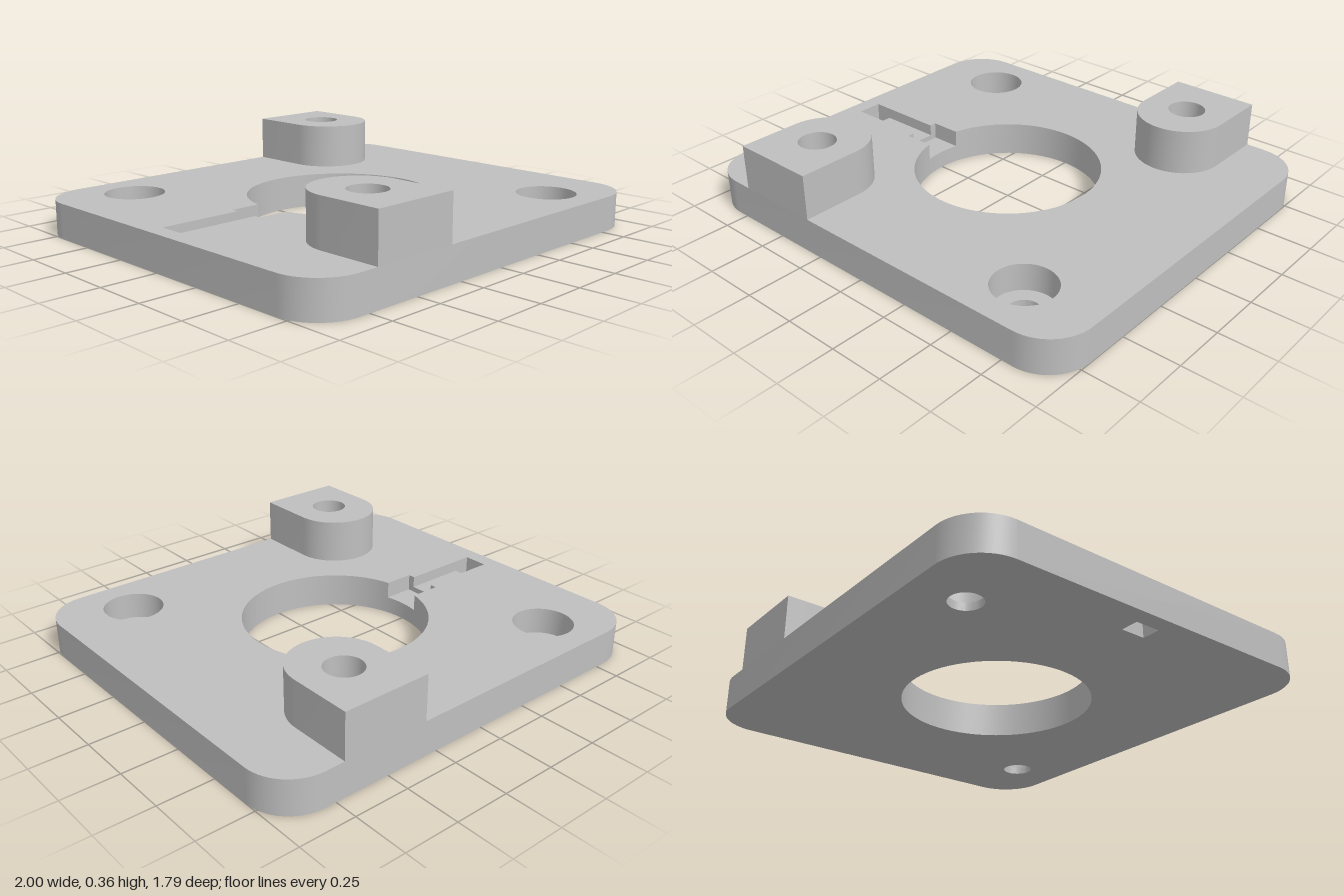
import * as THREE from 'three';
import { mergeGeometries, toCreasedNormals } from 'three/addons/utils/BufferGeometryUtils.js';

// Plan points are (x, v) with v = -z. Walls keep solid material on their left.
const T = 0.157, BOSS_TOP = 0.362;              // plate and boss heights
const LEDGE = 0.035, POCKET = 0.08, SLOT = 0.105; // recess floor heights
const R = 0.42;                                  // central bore radius

const pt = (x, v) => new THREE.Vector2(x, v);

function arc(cx, cv, r, a0, a1, n = 24) {
  const pts = [];
  for (let i = 0; i <= n; i++) {
    const a = a0 + (a1 - a0) * i / n;
    pts.push(pt(cx + r * Math.cos(a), cv + r * Math.sin(a)));
  }
  return pts;
}

// Clockwise circle, used for holes
const hole = (cx, cv, r) => arc(cx, cv, r, Math.PI * 2, 0, 48);

// Vertical strip following a plan polyline
function wall(pts, y0, y1) {
  const pos = [];
  for (let i = 0; i < pts.length - 1; i++) {
    const p = pts[i], q = pts[i + 1];
    pos.push(p.x, y0, -p.y, q.x, y0, -q.y, q.x, y1, -q.y);
    pos.push(p.x, y0, -p.y, q.x, y1, -q.y, p.x, y1, -p.y);
  }
  const g = new THREE.BufferGeometry();
  g.setAttribute('position', new THREE.Float32BufferAttribute(pos, 3));
  return g;
}

// Horizontal face with holes, facing up or down
function flat(outline, holes, y, up = true) {
  const shape = new THREE.Shape(outline);
  shape.holes = holes.map((h) => new THREE.Path(h));
  const src = new THREE.ShapeGeometry(shape);
  if (!up) src.setIndex(Array.from(src.index.array).reverse());
  src.rotateX(-Math.PI / 2).translate(0, y, 0);
  const g = src.toNonIndexed();
  g.deleteAttribute('uv');
  g.deleteAttribute('normal');
  return g;
}

const closed = (pts) => [...pts, pts[0]];

function makeMesh(name, pieces, material) {
  const mesh = new THREE.Mesh(toCreasedNormals(mergeGeometries(pieces), 0.6), material);
  mesh.name = name;
  return mesh;
}

export function createModel() {
  const group = new THREE.Group();
  group.name = 'mountingPlate';
  const metal = new THREE.MeshStandardMaterial({ color: 0xbfbfbf });
  metal.name = 'plain grey';

  // Rounded plate outline
  const W = 1, D = 0.895, r = 0.2, Q = Math.PI / 2;
  const outline = [
    ...arc(W - r, D - r, r, 0, Q, 14), ...arc(r - W, D - r, r, Q, 2 * Q, 14),
    ...arc(r - W, r - D, r, 2 * Q, 3 * Q, 14), ...arc(W - r, r - D, r, 3 * Q, 4 * Q, 14),
  ];

  // Bore, split where the pocket opens into it
  const pw = 0.09, sw = 0.058, px = -0.55, sx = -0.925, hx = -0.845;
  const a = Math.asin(pw / R);
  const bore = arc(0, 0, R, Math.PI - a, a - Math.PI, 80);
  const mouth = arc(0, 0, R, Math.PI + a, Math.PI - a, 8);
  const start = bore[0], end = bore[bore.length - 1];
  const lower = [end, pt(px, -pw), pt(px, -sw)];
  const upper = [pt(px, sw), pt(px, pw), start];
  const slot = [pt(px, -sw), pt(sx, -sw), pt(sx, sw), pt(px, sw)];
  const slit = [pt(hx, -sw), pt(sx, -sw), pt(sx, sw), pt(hx, sw)];

  // Two counterbored screw holes on opposite corners
  const screws = [[-0.655, 0.655], [0.655, -0.655]];
  const wide = screws.map(([x, v]) => hole(x, v, 0.135));
  const narrow = screws.map(([x, v]) => hole(x, v, 0.07));

  const plate = [
    wall(closed(outline), 0, T),
    flat(outline, [[...bore, ...mouth.slice(1, -1)], slit, ...narrow], 0, false),
    flat(outline, [[...bore, ...lower.slice(1, 2), ...slot, ...upper.slice(1, 2)], ...wide], T),
    wall(bore, 0, T),
    wall(mouth, 0, POCKET),
  ];
  group.add(makeMesh('basePlate', plate, metal));

  // Stepped pocket and cable slot ending in a through slit
  const channel = [
    wall(lower, POCKET, T),
    wall(upper, POCKET, T),
    wall([pt(px, -sw), pt(px, sw)], POCKET, SLOT),
    wall(slot, SLOT, T),
    wall(closed(slit), 0, SLOT),
    flat([...mouth, pt(px, pw), pt(px, -pw)], [], POCKET),
    flat([pt(hx, -sw), pt(px, -sw), pt(px, sw), pt(hx, sw)], [], SLOT),
  ];
  group.add(makeMesh('slotAndPocket', channel, metal));

  screws.forEach((_, i) => group.add(makeMesh('screwHole', [
    wall(wide[i], LEDGE, T),
    wall(narrow[i], 0, LEDGE),
    flat(wide[i], [narrow[i]], LEDGE),
  ], metal)));

  // Round-nosed bosses with blind holes, mirrored by a half turn
  const bx = 0.51, br = 0.2;
  const bossOutline = [
    pt(bx + br, D), pt(bx - br, D),
    ...arc(bx, 0.613, br, Math.PI, Math.PI * 2, 32),
  ];
  const bossHole = hole(bx, 0.655, 0.083);
  for (const turn of [0, Math.PI]) {
    const boss = makeMesh(turn ? 'frontBoss' : 'backBoss', [
      wall(closed(bossOutline), T, BOSS_TOP),
      wall(bossHole, T, BOSS_TOP),
      flat(bossOutline, [bossHole], BOSS_TOP),
    ], metal);
    boss.rotation.y = turn;
    group.add(boss);
  }
  return group;
}
